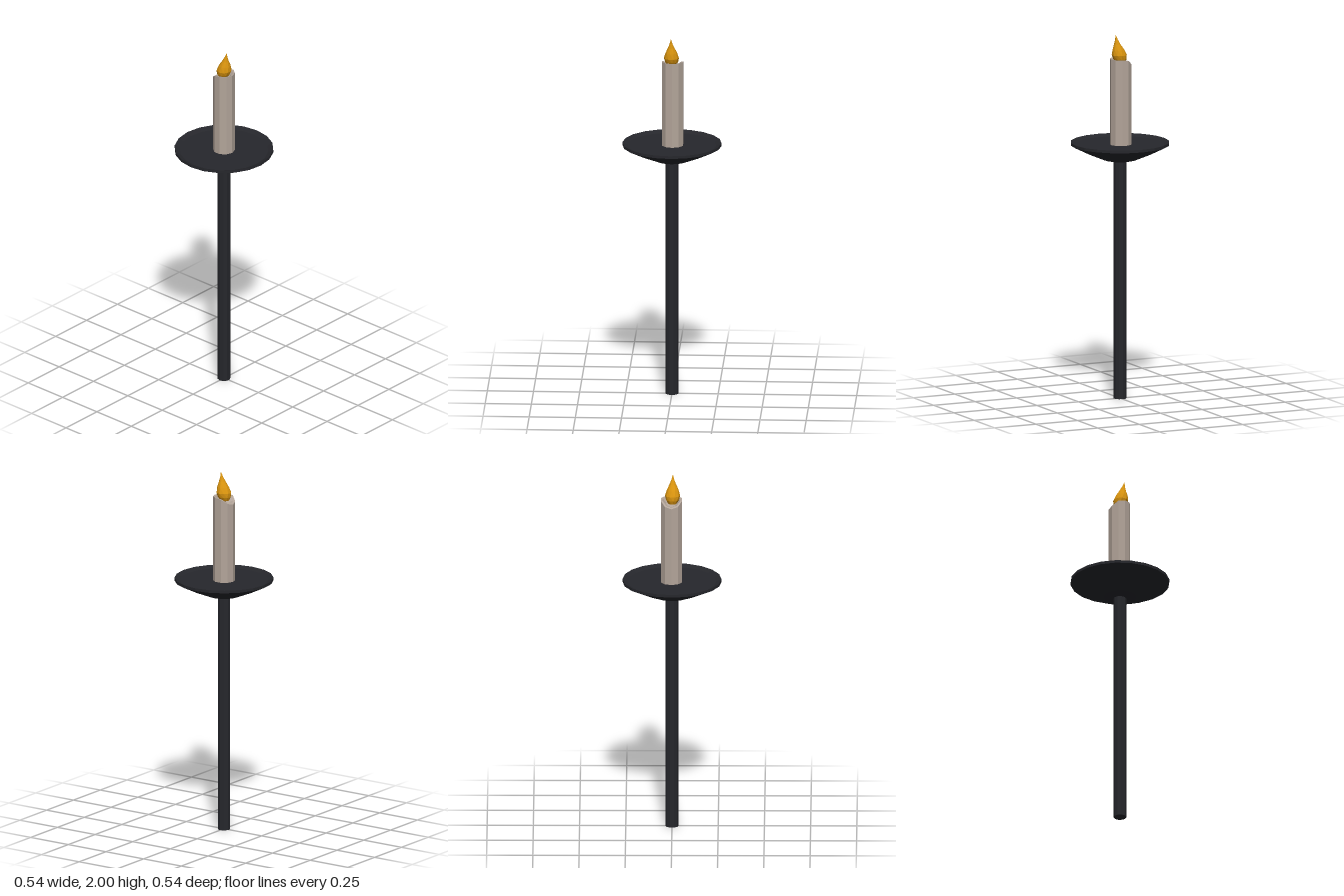
import * as THREE from 'three';

const mat = (color) => new THREE.MeshStandardMaterial({ color, flatShading: true });

// Revolve [radius, y] points into a faceted solid with a vertex on the x axis.
function lathe(points, sides) {
  const profile = points.map(([r, y]) => new THREE.Vector2(r, y));
  return new THREE.LatheGeometry(profile, sides, Math.PI / 2);
}

// Move every vertex by a rule.
function reshape(geometry, rule) {
  const pos = geometry.attributes.position;
  const v = new THREE.Vector3();
  for (let i = 0; i < pos.count; i++) {
    rule(v.fromBufferAttribute(pos, i));
    pos.setXYZ(i, v.x, v.y, v.z);
  }
  geometry.computeVertexNormals();
  return geometry;
}

export function createModel() {
  const model = new THREE.Group();
  const iron = mat(0x26272c);
  const add = (name, geometry, material) => {
    const mesh = new THREE.Mesh(geometry, material);
    mesh.name = name;
    model.add(mesh);
    return mesh;
  };

  // Straight pole
  add('pole', new THREE.CylinderGeometry(0.035, 0.035, 1.32, 10).translate(0, 0.66, 0), iron);

  // Shallow drip dish with a thin rim sloping in to a flat floor
  add('dripDish', lathe([
    [0, 1.303], [0.045, 1.304], [0.09, 1.314], [0.18, 1.352], [0.268, 1.395],
    [0.268, 1.41], [0.24, 1.397], [0, 1.397],
  ], 20), iron);

  // Candle with a melted hollow; its rim sags towards -x
  const candle = lathe([
    [0.06, 1.39], [0.06, 1.868], [0.05, 1.866], [0.032, 1.848], [0, 1.842],
  ], 10);
  reshape(candle, (v) => {
    if (v.y > 1.5) {
      const sag = Math.max(0, -v.x - 0.012) / 0.048;
      v.y -= 0.038 * sag;
    }
    v.x -= 0.003;
    v.z -= 0.003;
  });
  add('candle', candle, mat(0xb3a59a));

  // Flame, twisted and leaning to +x towards its tip
  const flame = lathe([
    [0, 1.838], [0.024, 1.845], [0.036, 1.865], [0.041, 1.888],
    [0.032, 1.918], [0.018, 1.947], [0.008, 1.972], [0, 2],
  ], 10);
  reshape(flame, (v) => {
    const t = (v.y - 1.838) / 0.162;
    v.applyAxisAngle(new THREE.Vector3(0, 1, 0), t * 0.9);
    v.x += -0.006 + 0.03 * t;
    v.z += 0.002 + 0.003 * t;
  });
  add('flame', flame, mat(0xd9940f));

  return model;
}
